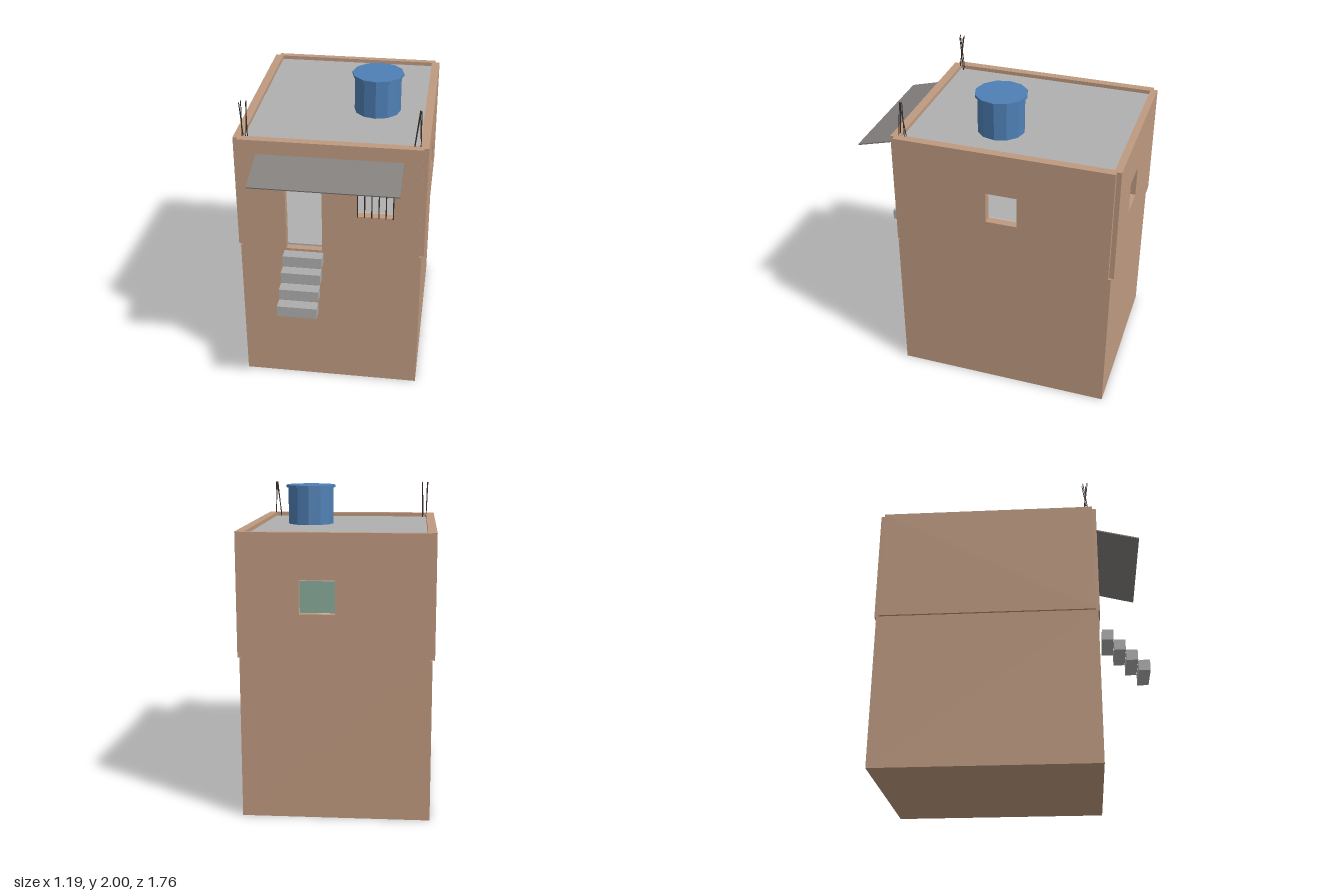
import * as THREE from 'three';

const mat = (color, extra = {}) => new THREE.MeshStandardMaterial({ color, ...extra });
const BRICK = mat(0xbf9a80);
const CONCRETE = mat(0xb0b0b0);
const STEP = mat(0xadadad);
const AWNING = mat(0x858280);
const PINK = mat(0xd2c2c6);
const GREEN = mat(0x8aab9b);
const IRON = mat(0x3a302a);
const WOOD = mat(0x5c4a3e);
const BLUE = mat(0x4f80b5, { flatShading: true });

function add(parent, name, geometry, material) {
  const mesh = new THREE.Mesh(geometry, material);
  mesh.name = name;
  parent.add(mesh);
  return mesh;
}

// Box given by its min and max on each axis
function box(parent, name, [x0, x1], [y0, y1], [z0, z1], material) {
  const mesh = add(parent, name, new THREE.BoxGeometry(x1 - x0, y1 - y0, z1 - z0), material);
  mesh.position.set((x0 + x1) / 2, (y0 + y1) / 2, (z0 + z1) / 2);
  return mesh;
}

// Upright panel with openings [u0, u1, y0, y1]; one that reaches the bottom becomes a notch
function panel(parent, name, [u0, u1], [y0, y1], depth, material, openings = []) {
  const shape = new THREE.Shape().moveTo(u0, y0);
  for (const [a, b, c, d] of openings) {
    if (c <= y0) {
      shape.lineTo(a, y0).lineTo(a, d).lineTo(b, d).lineTo(b, y0);
    } else {
      shape.holes.push(new THREE.Path().moveTo(a, c).lineTo(a, d).lineTo(b, d).lineTo(b, c).closePath());
    }
  }
  shape.lineTo(u1, y0).lineTo(u1, y1).lineTo(u0, y1).closePath();
  return add(parent, name, new THREE.ExtrudeGeometry(shape, { depth, bevelEnabled: false }), material);
}

// Thin round bar between two points
function rod(parent, name, from, to, radius) {
  const a = new THREE.Vector3(...from), b = new THREE.Vector3(...to);
  const dir = b.clone().sub(a);
  const mesh = add(parent, name, new THREE.CylinderGeometry(radius, radius, dir.length(), 6), IRON);
  mesh.position.copy(a).add(b).multiplyScalar(0.5);
  mesh.quaternion.setFromUnitVectors(new THREE.Vector3(0, 1, 0), dir.normalize());
}

export function createModel() {
  const model = new THREE.Group();
  model.name = 'house';

  // Solid ground storey
  box(model, 'groundStorey', [-0.58, 0.58], [0, 1.01], [-0.86, 0.555], BRICK);

  // Upper storey walls; side walls use u = -z
  const upper = new THREE.Group();
  upper.name = 'upperStorey';
  model.add(upper);
  const door = [-0.28, -0.05, 1.01, 1.54];
  const frontWindow = [0.17, 0.4, 1.285, 1.515];
  const backWindow = [0.0, 0.215, 1.285, 1.49];
  const sideWindow = [0.055, 0.255, 1.285, 1.49];
  const H = [1.01, 1.77];
  panel(upper, 'frontWall', [-0.565, 0.565], H, 0.055, BRICK, [door, frontWindow]).position.z = 0.51;
  panel(upper, 'backWall', [-0.565, 0.565], H, 0.045, BRICK, [backWindow]).position.z = -0.875;
  for (const [name, x, openings] of [['leftWall', 0.54, [sideWindow]], ['rightWall', -0.595, []]]) {
    const wall = panel(upper, name, [-0.54, 0.845], H, 0.055, BRICK, openings);
    wall.rotation.y = Math.PI / 2;
    wall.position.x = x;
  }
  box(upper, 'floor', [-0.54, 0.54], [1.01, 1.022], [-0.83, 0.51], CONCRETE);
  box(upper, 'roofSlab', [-0.54, 0.54], [1.69, 1.745], [-0.83, 0.51], CONCRETE);

  // Painted interior: green below, pink above
  const paint = new THREE.Group();
  paint.name = 'interiorPaint';
  model.add(paint);
  const t = 0.005, low = [1.022, 1.265], high = [1.265, 1.69];
  const X = [-0.54, 0.54], U = [-0.51, 0.83];
  panel(paint, 'frontPaintUpper', X, high, t, PINK, [door, frontWindow]).position.z = 0.51 - t;
  panel(paint, 'frontPaintLowerA', [-0.54, door[0]], low, t, GREEN).position.z = 0.51 - t;
  panel(paint, 'frontPaintLowerB', [door[1], 0.54], low, t, GREEN).position.z = 0.51 - t;
  panel(paint, 'backPaintUpper', X, high, t, PINK, [backWindow]).position.z = -0.83;
  panel(paint, 'backPaintLower', X, low, t, GREEN).position.z = -0.83;
  for (const [x, openings] of [[0.54 - t, [sideWindow]], [-0.54, []]]) {
    for (const [name, range, material, holes] of [
      ['sidePaintUpper', high, PINK, openings], ['sidePaintLower', low, GREEN, []]]) {
      const side = panel(paint, name, U, range, t, material, holes);
      side.rotation.y = Math.PI / 2;
      side.position.x = x;
    }
  }

  // Low table with a cabinet beneath
  box(model, 'tableTop', [-0.21, 0.25], [1.105, 1.117], [-0.75, -0.4], WOOD);
  box(model, 'tableCabinet', [-0.12, 0.2], [1.022, 1.105], [-0.72, -0.43], WOOD);

  // Floating stair blocks
  for (let i = 0; i < 4; i++) {
    const top = 1.01 - i * 0.075, back = 0.58 + i * 0.0755;
    box(model, 'step', [-0.29, -0.04], [top - 0.073, top], [back, back + 0.075], STEP);
  }

  // Sloping awning sheet
  const awning = add(model, 'awning', new THREE.BoxGeometry(0.905, 0.008, 0.295), AWNING);
  awning.position.set(0, 1.638, 0.705);
  awning.rotation.x = Math.atan2(0.075, 0.285);

  // Window grille
  const grille = new THREE.Group();
  grille.name = 'windowGrille';
  model.add(grille);
  for (let i = 0; i < 6; i++) {
    const x = 0.175 + i * 0.0445;
    rod(grille, 'grilleBar', [x, 1.288, 0.577], [x, 1.515, 0.577], 0.004);
  }
  box(grille, 'grilleRail', [0.158, 0.41], [1.512, 1.522], [0.567, 0.585], IRON);

  // Water tank
  const tank = new THREE.Group();
  tank.name = 'waterTank';
  tank.position.set(0.23, 0, -0.04);
  model.add(tank);
  add(tank, 'tankBody', new THREE.CylinderGeometry(0.15, 0.15, 0.245, 12), BLUE).position.y = 1.8675;
  add(tank, 'tankLid', new THREE.CylinderGeometry(0.165, 0.165, 0.016, 12), BLUE).position.y = 1.992;

  // Rebar stubs on the two front corners: [bottom x, bottom z, top x, top z]
  const stubs = {
    rightRebar: [[-0.54, 0.485, -0.55, 0.515], [-0.54, 0.52, -0.545, 0.485],
      [-0.515, 0.485, -0.51, 0.505], [-0.52, 0.515, -0.512, 0.48]],
    leftRebar: [[0.503, 0.485, 0.53, 0.505], [0.505, 0.525, 0.535, 0.495],
      [0.545, 0.48, 0.53, 0.49], [0.545, 0.52, 0.54, 0.5]],
  };
  for (const [name, rods] of Object.entries(stubs)) {
    const cluster = new THREE.Group();
    cluster.name = name;
    model.add(cluster);
    for (const [bx, bz, tx, tz] of rods) rod(cluster, 'rebarRod', [bx, 1.74, bz], [tx, 1.99, tz], 0.003);
  }

  return model;
}
